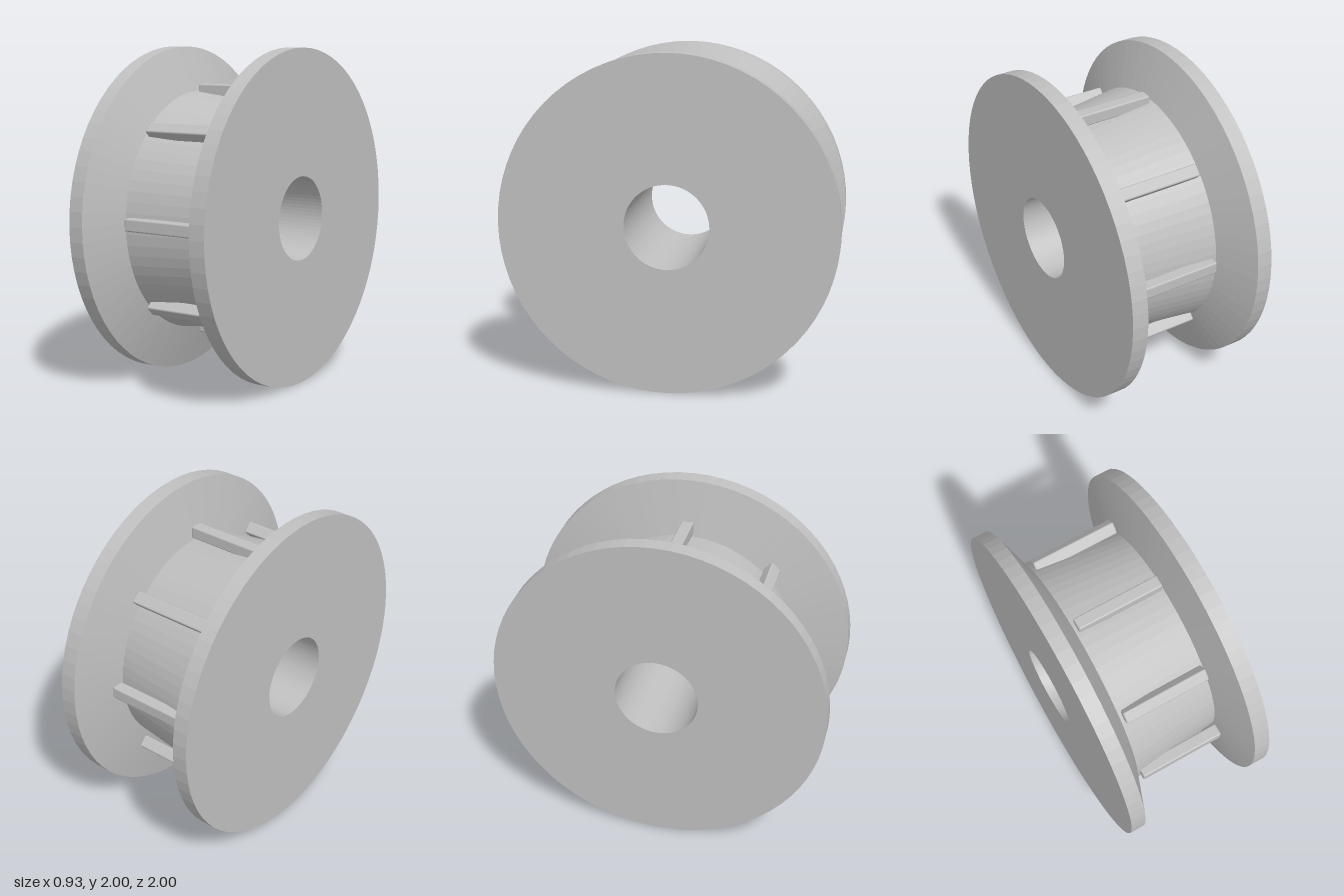
import * as THREE from 'three';
import { RoundedBoxGeometry } from 'three/addons/geometries/RoundedBoxGeometry.js';

export function createModel() {
  const model = new THREE.Group();
  model.name = 'flangedSpool';
  const grey = new THREE.MeshStandardMaterial({ color: 0xc0c0c0 });
  grey.name = 'plain grey';

  // Spool body: closed [radius, x] profile with two flanges, tapered drum and bore
  const profile = [
    [0.25, -0.463], [1, -0.463], [1, -0.37], [0.733, -0.27],
    [0.665, 0.298], [1, 0.365], [1, 0.463], [0.25, 0.463], [0.25, -0.463],
  ].map(([r, x]) => new THREE.Vector2(r, x));
  const bodyGeometry = new THREE.LatheGeometry(profile, 72).toNonIndexed();
  bodyGeometry.computeVertexNormals(); // faceted sides
  bodyGeometry.rotateZ(-Math.PI / 2);
  const body = new THREE.Mesh(bodyGeometry, grey);
  body.name = 'spoolBody';
  body.position.y = 1;
  model.add(body);

  // Eight grip bars spaced round the drum
  const bars = new THREE.Group();
  bars.name = 'gripBars';
  bars.position.y = 1;
  const barGeometry = new RoundedBoxGeometry(0.53, 0.075, 0.075, 2, 0.01);
  barGeometry.translate(0.015, 0.737, 0);
  for (let i = 0; i < 8; i++) {
    const bar = new THREE.Mesh(barGeometry, grey);
    bar.name = `gripBar${i + 1}`;
    bar.rotation.x = (i * Math.PI) / 4;
    bars.add(bar);
  }
  model.add(bars);
  return model;
}
